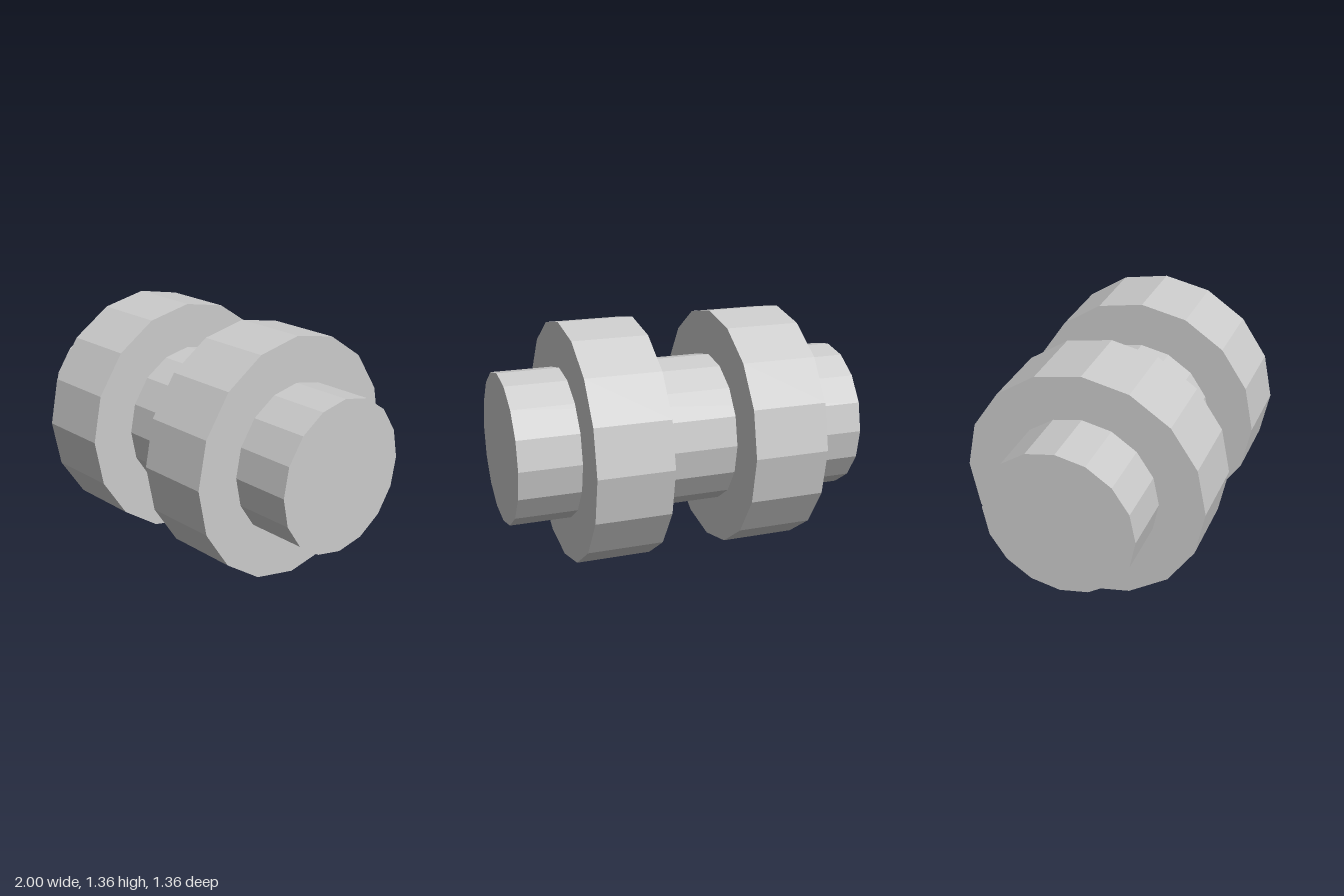
import * as THREE from 'three';

const SIDES = 16;
const WHEEL_RADIUS = 0.678;
const SHAFT_RADIUS = 0.424;

export function createModel() {
  const model = new THREE.Group();
  model.name = 'axleWithWheels';
  const material = new THREE.MeshStandardMaterial({ color: 0xcccccc, flatShading: true });

  // Faceted cylinder lying along x, resting at wheel-centre height
  const addCylinder = (name, radius, length, x) => {
    const geometry = new THREE.CylinderGeometry(radius, radius, length, SIDES);
    geometry.rotateZ(Math.PI / 2);
    const mesh = new THREE.Mesh(geometry, material);
    mesh.name = name;
    mesh.position.set(x, WHEEL_RADIUS, 0);
    model.add(mesh);
  };

  // Shaft running the full length
  addCylinder('shaft', SHAFT_RADIUS, 2, 0);

  // Pair of wide wheels mirrored about the middle
  addCylinder('leftWheel', WHEEL_RADIUS, 0.424, 0.442);
  addCylinder('rightWheel', WHEEL_RADIUS, 0.424, -0.442);

  return model;
}
